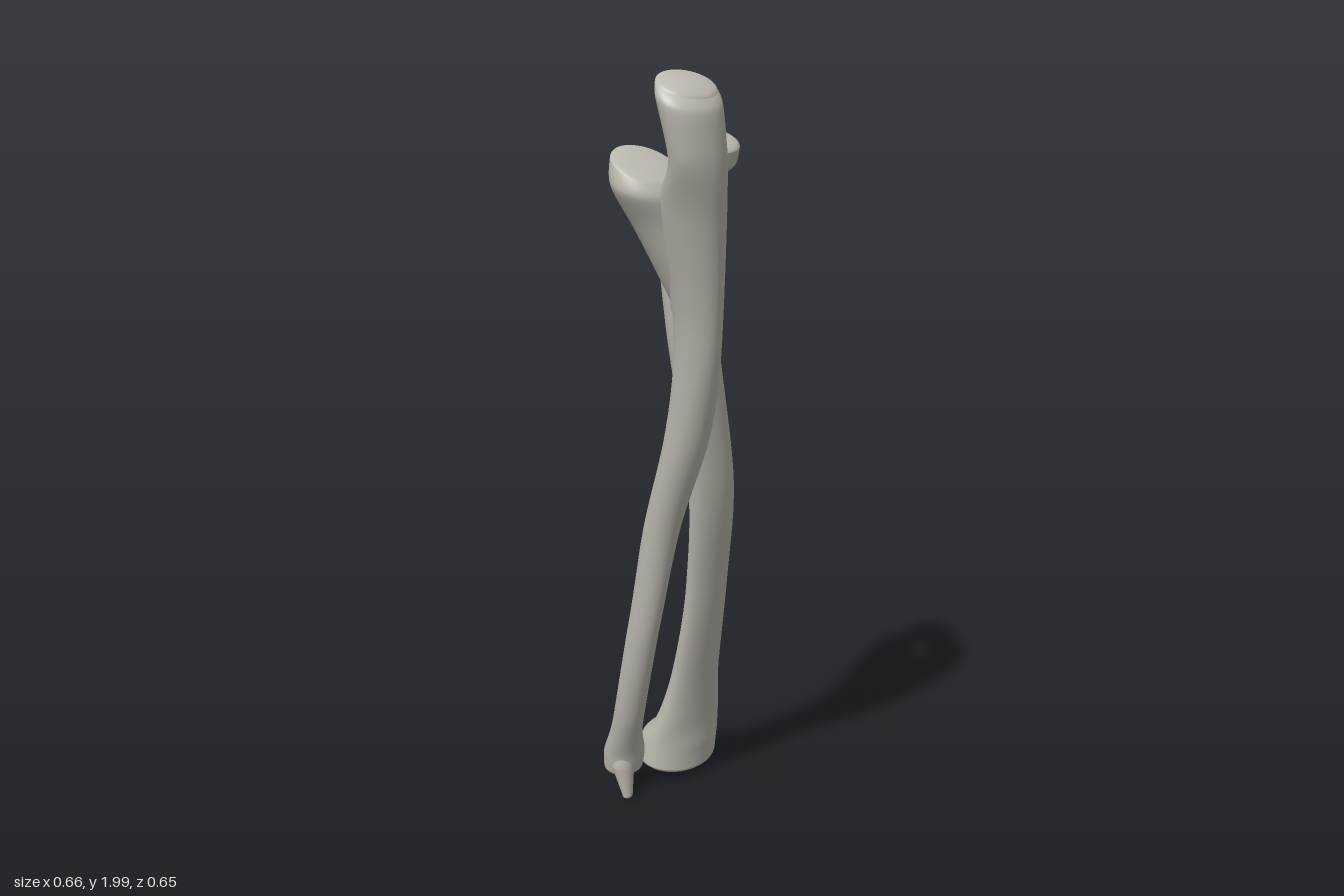
import * as THREE from 'three';

const bone = new THREE.MeshStandardMaterial({ color: 0xbdbab0 });
bone.name = 'bone';

const SIDES = 40, STEPS = 10, CAP_STEPS = 8;

// Monotone cubic blend through a list of sections, column by column
function blend(rows, t) {
  const i = Math.min(Math.floor(t), rows.length - 2), u = t - i;
  return [0, 1, 2, 3, 4, 5].map(c => {
    const at = k => rows[Math.max(0, Math.min(rows.length - 1, k))][c] ?? 0;
    const slope = k => {
      const a = at(k) - at(k - 1), b = at(k + 1) - at(k);
      return a * b <= 0 ? 0 : (2 * a * b) / (a + b);
    };
    const s = u * u * (3 - 2 * u);
    return at(i) + s * (at(i + 1) - at(i))
      + u * (1 - u) * ((1 - u) * slope(i) - u * slope(i + 1));
  });
}

// Skin over level sections from the bottom up, closed by domes of the given heights.
// Section: [y, centre x, centre z, radius x, radius z, optional tilt of y along z]
function loft(name, rows, bottomDome, topDome) {
  const dome = (row, height, k) => {
    const a = (k / CAP_STEPS) * Math.PI / 2;
    const [y, cx, cz, rx, rz, tilt = 0] = row;
    return [y + height * Math.sin(a), cx, cz, rx * Math.cos(a), rz * Math.cos(a), tilt];
  };
  const rings = [];
  for (let k = CAP_STEPS; k > 0; k--) rings.push(dome(rows[0], -bottomDome, k));
  const spans = (rows.length - 1) * STEPS;
  for (let j = 0; j <= spans; j++) rings.push(blend(rows, j / STEPS));
  for (let k = 1; k <= CAP_STEPS; k++) rings.push(dome(rows[rows.length - 1], topDome, k));

  const pos = [], index = [];
  rings.forEach(([y, cx, cz, rx, rz, tilt], j) => {
    for (let i = 0; i < SIDES; i++) {
      const a = (i / SIDES) * Math.PI * 2;
      const dz = rz * Math.sin(a);
      pos.push(cx + rx * Math.cos(a), y + tilt * dz, cz + dz);
      if (j < rings.length - 1) {
        const n = (i + 1) % SIDES, b = j * SIDES, t = b + SIDES;
        index.push(b + i, t + i, b + n, t + i, t + n, b + n);
      }
    }
  });
  const g = new THREE.BufferGeometry();
  g.setAttribute('position', new THREE.Float32BufferAttribute(pos, 3));
  g.setIndex(index);
  g.computeVertexNormals();
  const mesh = new THREE.Mesh(g, bone);
  mesh.name = name;
  return mesh;
}

function group(name, ...parts) {
  const g = new THREE.Group();
  g.name = name;
  g.add(...parts);
  return g;
}

export function createModel() {
  // Radius: flared wrist end, bowed shaft, disc-shaped head
  const radius = group('radius',
    loft('radiusShaft', [
      [0.06, 0.202, -0.24, 0.124, 0.085, -0.25],
      [0.11, 0.203, -0.232, 0.121, 0.085, -0.15],
      [0.19, 0.197, -0.195, 0.106, 0.06],
      [0.36, 0.173, -0.138, 0.078, 0.042],
      [0.65, 0.13, -0.055, 0.066, 0.037],
      [0.97, 0.077, 0.008, 0.071, 0.038],
      [1.35, -0.006, 0.026, 0.072, 0.045],
      [1.6, -0.046, 0.034, 0.06, 0.056],
      [1.71, -0.055, 0.066, 0.056, 0.051, -0.1],
      [1.785, -0.063, 0.113, 0.078, 0.078, -0.2],
      [1.82, -0.064, 0.117, 0.083, 0.081, -0.24],
    ], 0.028, 0.02),
    loft('radiusWristTip', [
      [0.026, 0.305, -0.255, 0.018, 0.02],
      [0.13, 0.285, -0.235, 0.025, 0.035],
    ], 0.01, 0.08));

  // Ulna: small wrist head with a pointed tip, slender shaft, hooked elbow end
  const ulna = group('ulna',
    loft('ulnaShaft', [
      [0.085, 0.008, -0.25, 0.055, 0.05],
      [0.13, 0.002, -0.24, 0.057, 0.053],
      [0.26, -0.04, -0.178, 0.039, 0.042],
      [0.6, -0.085, -0.062, 0.036, 0.044],
      [0.87, -0.097, 0.012, 0.042, 0.047],
      [1.15, -0.108, 0.115, 0.052, 0.055],
      [1.4, -0.14, 0.178, 0.046, 0.062],
      [1.68, -0.197, 0.215, 0.066, 0.084],
      [1.83, -0.238, 0.273, 0.073, 0.05],
      [1.94, -0.252, 0.262, 0.082, 0.056, -0.35],
      [1.967, -0.248, 0.25, 0.074, 0.054, -0.42],
    ], 0.028, 0.016),
    loft('ulnaWristTip', [
      [0.012, -0.015, -0.211, 0.015, 0.013],
      [0.1, -0.018, -0.225, 0.032, 0.03],
    ], 0.012, 0.08),
    // Lower lip of the elbow notch, rising to a point away from the hook
    loft('elbowNotchLip', [
      [1.48, -0.155, 0.158, 0.032, 0.045],
      [1.65, -0.205, 0.135, 0.068, 0.065],
      [1.745, -0.24, 0.122, 0.088, 0.075, -0.25],
      [1.785, -0.243, 0.118, 0.08, 0.068, -0.5],
    ], 0.06, 0.012));

  return group('forearmBones', radius, ulna);
}
